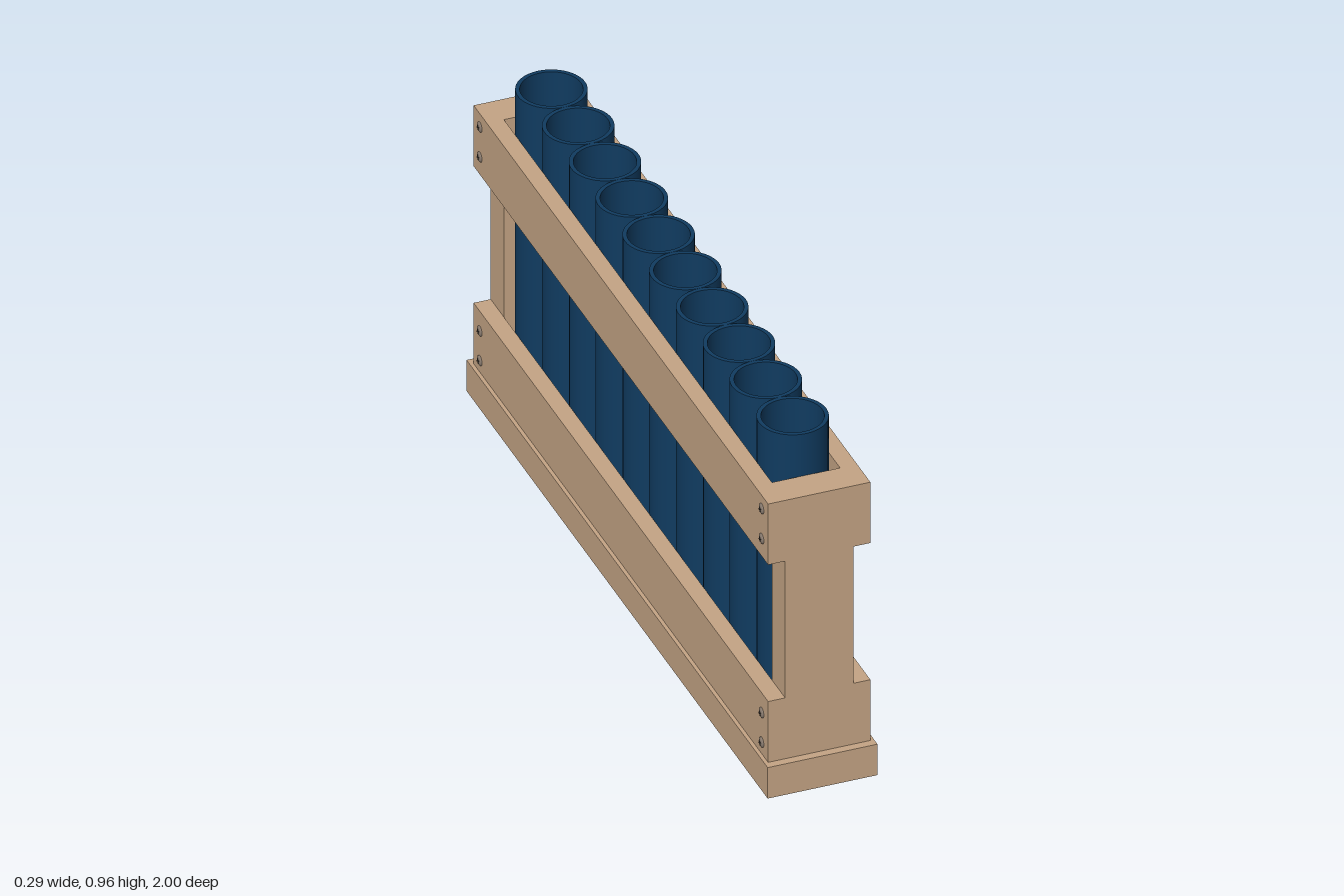
import * as THREE from 'three';

export function createModel() {
  const model = new THREE.Group();
  model.name = 'tubeRack';
  const material = (name, color) => {
    const m = new THREE.MeshStandardMaterial({ color });
    m.name = name;
    return m;
  };
  const wood = material('wood', 0xc4a484);
  const blue = material('tubeBlue', 0x103b60);
  const metal = material('screwMetal', 0x8a7c70);
  const dark = material('screwSlot', 0x3a3530);

  const add = (name, geometry, mat, x = 0, y = 0, z = 0, parent = model) => {
    const mesh = new THREE.Mesh(geometry, mat);
    mesh.name = name;
    mesh.position.set(x, y, z);
    parent.add(mesh);
    return mesh;
  };
  const box = (w, h, d) => new THREE.BoxGeometry(w, h, d);

  // Base plank
  const baseTop = 0.09;
  add('base', box(0.29, baseTop, 2), wood, 0, baseTop / 2, 0);

  // End posts
  for (const s of [-1, 1]) add('endPost', box(0.18, 0.752, 0.088), wood, 0, 0.466, s * 0.934);

  // Side rails: a low and a high pair
  for (const s of [-1, 1]) {
    add('lowerRail', box(0.045, 0.177, 1.956), wood, s * 0.1125, 0.1785, 0);
    add('upperRail', box(0.045, 0.177, 1.956), wood, s * 0.1125, 0.7535, 0);
  }

  // Open tubes: closed floor, inner wall, rim and outer wall in one profile
  const r = 0.089, inner = 0.078, top = 0.963, floor = 0.11;
  const wall = (points) => new THREE.LatheGeometry(points.map(([x, y]) => new THREE.Vector2(x, y)), 40);
  const outerWall = wall([[r, baseTop], [r, top]]);
  const rim = wall([[r, top], [inner, top]]);
  const innerWall = wall([[inner, top], [inner, floor]]);
  const bottom = wall([[inner, floor], [0, floor]]);
  for (let i = 0; i < 10; i++) {
    const tube = new THREE.Group();
    tube.name = 'tube';
    tube.position.z = (i - 4.5) * 0.178;
    add('tubeOuterWall', outerWall, blue, 0, 0, 0, tube);
    add('tubeRim', rim, blue, 0, 0, 0, tube);
    add('tubeInnerWall', innerWall, blue, 0, 0, 0, tube);
    add('tubeFloor', bottom, blue, 0, 0, 0, tube);
    model.add(tube);
  }

  // Domed screws with crossed slots, pointing outward from the rails
  const head = wall([[0.014, 0], [0.013, 0.002], [0.009, 0.0045], [0, 0.006]]);
  const slot = box(0.014, 0.001, 0.003);
  for (const s of [-1, 1]) {
    for (const z of [-0.936, 0.936]) {
      for (const y of [0.124, 0.21, 0.717, 0.804]) {
        const screw = new THREE.Group();
        screw.name = 'screw';
        screw.position.set(s * 0.135, y, z);
        screw.rotation.z = -s * Math.PI / 2;
        add('screwHead', head, metal, 0, 0, 0, screw);
        for (const turn of [0.4, 0.4 + Math.PI / 2]) {
          add('screwSlot', slot, dark, 0, 0.0058, 0, screw).rotation.y = turn;
        }
        model.add(screw);
      }
    }
  }
  return model;
}
